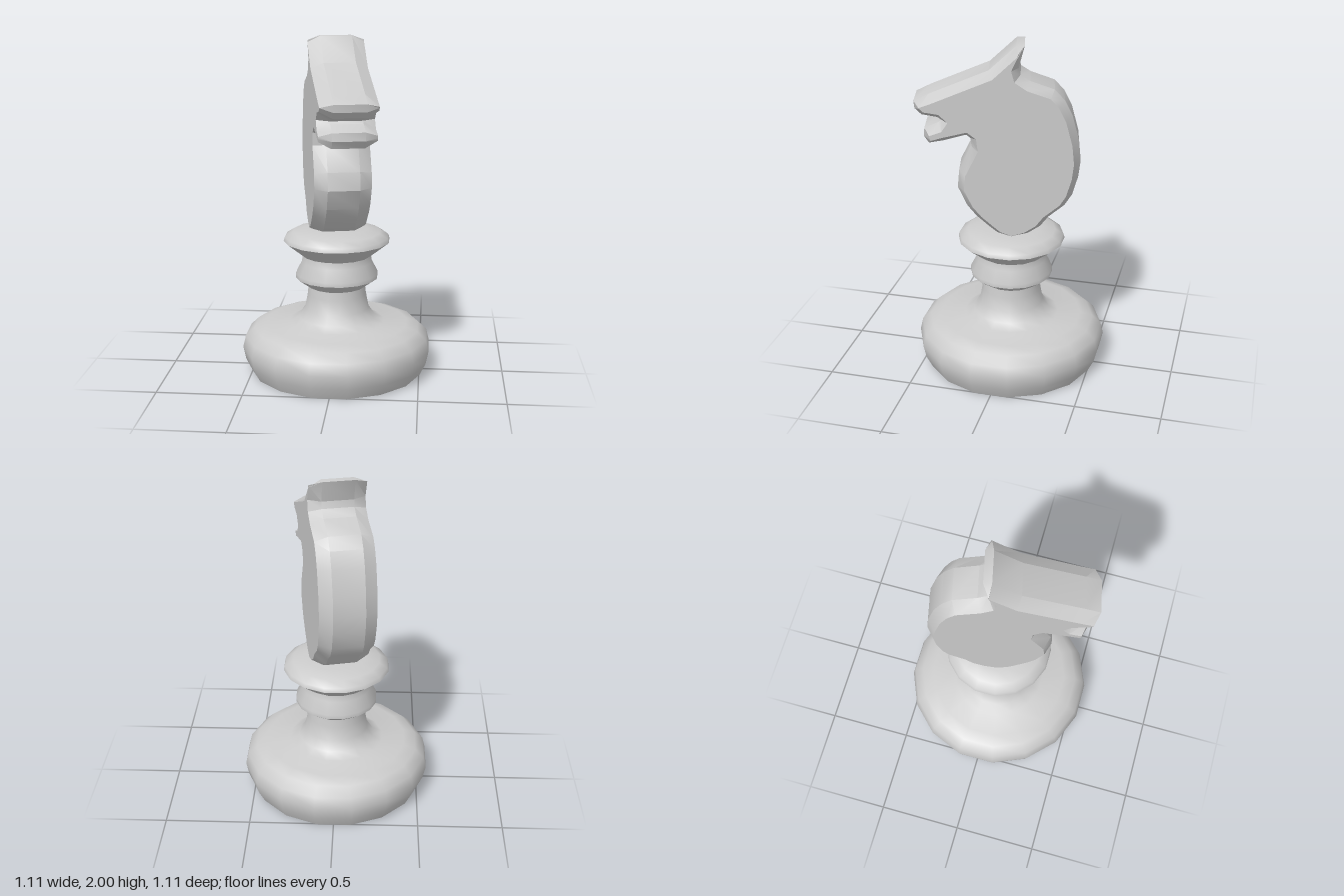
import * as THREE from 'three';
import { toCreasedNormals } from 'three/addons/utils/BufferGeometryUtils.js';

const material = new THREE.MeshStandardMaterial({ color: 0xcccccc });

// Turned base: [radius, height] from the underside up to the collar
const BASE = [
  [0, 0], [0.515, 0], [0.55, 0.07], [0.567, 0.15], [0.55, 0.22], [0.497, 0.27], [0.425, 0.295],
  [0.285, 0.302], [0.23, 0.33], [0.192, 0.385], [0.176, 0.47], [0.17, 0.52],
  [0.246, 0.575], [0.246, 0.6], [0.21, 0.67], [0.204, 0.71],
  [0.317, 0.8], [0.31, 0.825], [0.262, 0.855], [0.18, 0.872], [0, 0.872],
];

// Horse head outline: [z, y], from the ear down the mane, then up chest and face
const HEAD = [
  [-0.029, 2], [-0.075, 2], [-0.042, 1.875], [-0.052, 1.835], [-0.107, 1.8],
  [-0.243, 1.752], [-0.3, 1.69], [-0.345, 1.6], [-0.385, 1.45], [-0.397, 1.33], [-0.385, 1.23],
  [-0.352, 1.117], [-0.309, 1.05], [-0.216, 0.974], [-0.17, 0.915], [-0.096, 0.867], [0, 0.84],
  [0.08, 0.87], [0.123, 0.905], [0.2, 0.975], [0.254, 1.042], [0.308, 1.16], [0.298, 1.265],
  [0.225, 1.41], [0.23, 1.46], [0.255, 1.48],
  [0.385, 1.445], [0.466, 1.43], [0.495, 1.473], [0.49, 1.52], [0.41, 1.555],
  [0.393, 1.57], [0.417, 1.585], [0.504, 1.6], [0.542, 1.637], [0.547, 1.68],
  [0.461, 1.722], [0.124, 1.86],
];

// Moves every outline point inwards along its averaged edge normal
function inset(points, amount) {
  const n = points.length;
  return points.map((p, i) => {
    const a = p.clone().sub(points[(i + n - 1) % n]).normalize();
    const b = points[(i + 1) % n].clone().sub(p).normalize();
    const t = a.add(b).normalize();
    return new THREE.Vector2(p.x - t.y * amount, p.y + t.x * amount);
  });
}

// Slab with chamfered rims, lofted through four copies of the outline
function chamferedSlab(outline, halfWidth, halfRim, amount) {
  const small = inset(outline, amount);
  const rings = [[-halfWidth, small], [-halfRim, outline], [halfRim, outline], [halfWidth, small]];
  const n = outline.length;
  const positions = [];
  const index = [];
  for (const [x, ring] of rings) for (const p of ring) positions.push(x, p.y, p.x);
  for (let k = 0; k < 3; k++) {
    for (let i = 0; i < n; i++) {
      const j = (i + 1) % n;
      const a = k * n + i, b = k * n + j, c = a + n, d = b + n;
      index.push(a, c, b, b, c, d);
    }
  }
  for (const [a, b, c] of THREE.ShapeUtils.triangulateShape(small, [])) {
    index.push(a, b, c, 3 * n + c, 3 * n + b, 3 * n + a);
  }
  const geometry = new THREE.BufferGeometry();
  geometry.setAttribute('position', new THREE.Float32BufferAttribute(positions, 3));
  geometry.setIndex(index);
  return toCreasedNormals(geometry, 0.5);
}

export function createModel() {
  const model = new THREE.Group();
  model.name = 'chessKnight';

  // Sixteen-sided turned pedestal with collar
  const profile = BASE.map(([r, y]) => new THREE.Vector2(r, y));
  const lathe = new THREE.LatheGeometry(profile, 16, Math.PI / 16);
  const base = new THREE.Mesh(toCreasedNormals(lathe, 0.9), material);
  base.name = 'turnedBase';
  model.add(base);

  // Horse head, turned slightly to its left
  const outline = HEAD.map(([z, y]) => new THREE.Vector2(z, y));
  const head = new THREE.Mesh(chamferedSlab(outline, 0.164, 0.092, 0.04), material);
  head.name = 'horseHead';
  head.rotation.y = 0.22;
  model.add(head);

  return model;
}
